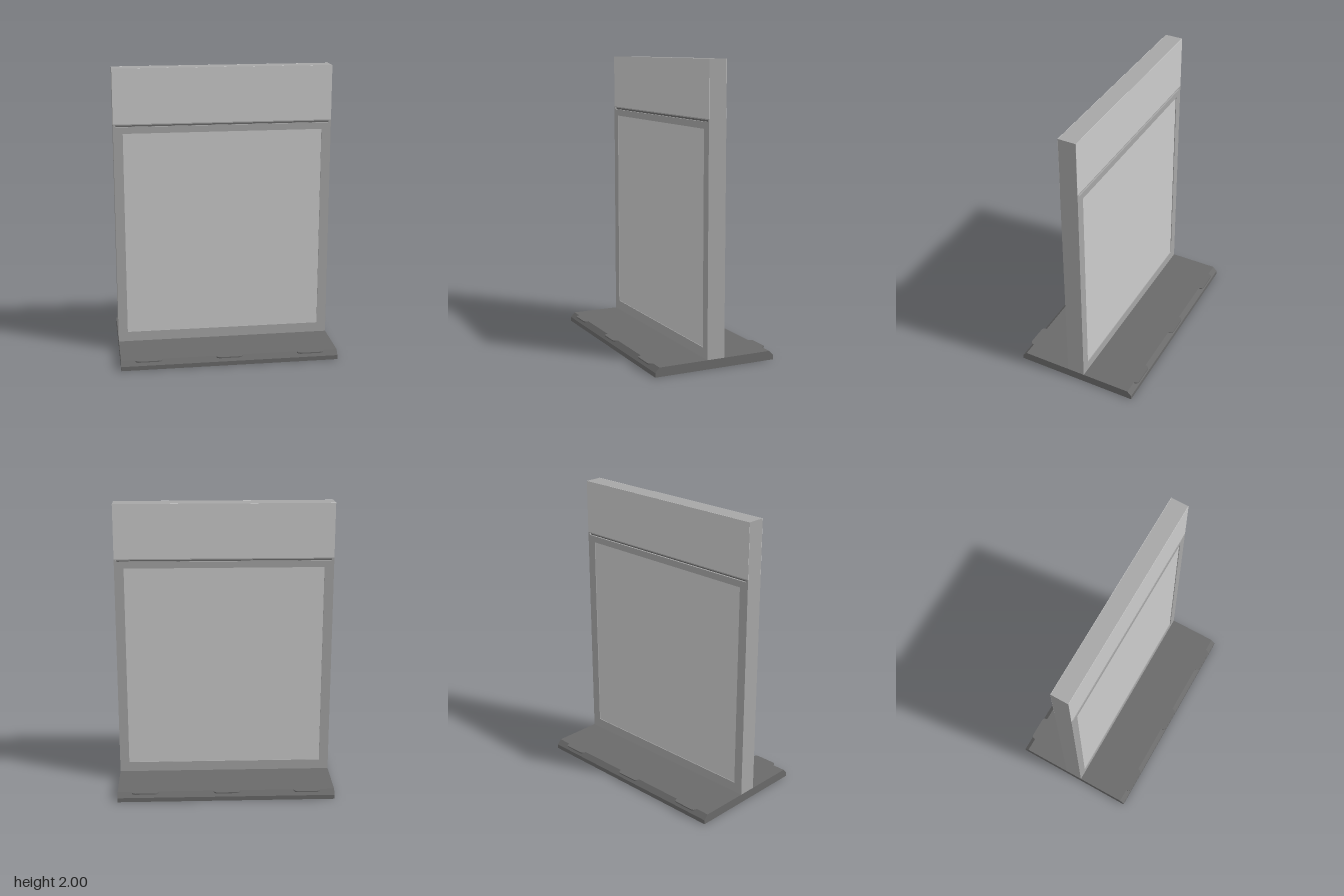
import * as THREE from 'three';

const W = 0.75;      // half width
const D = 0.437;     // half depth of base
const T = 0.0625;    // half thickness of upright, also base height
const SPLIT = 1.625; // bottom of the header

const faceMat = new THREE.MeshStandardMaterial({ color: 0xcccccc });
const frameMat = new THREE.MeshStandardMaterial({ color: 0xa6a6a6 });
const baseMat = new THREE.MeshStandardMaterial({ color: 0x6a6a6a });

function add(parent, name, geometry, material, x = 0, y = 0, z = 0) {
  const mesh = new THREE.Mesh(geometry, material);
  mesh.name = name;
  mesh.position.set(x, y, z);
  parent.add(mesh);
  return mesh;
}

function box(parent, name, material, x0, x1, y0, y1, z0, z1) {
  return add(parent, name, new THREE.BoxGeometry(x1 - x0, y1 - y0, z1 - z0), material,
    (x0 + x1) / 2, (y0 + y1) / 2, (z0 + z1) / 2);
}

const polygon = (points) => new THREE.Shape(points.map(([x, y]) => new THREE.Vector2(x, y)));
const rect = (x0, x1, y0, y1) => polygon([[x0, y0], [x1, y0], [x1, y1], [x0, y1]]);
const extrude = (shape, depth) =>
  new THREE.ExtrudeGeometry(shape, { depth, bevelEnabled: false, curveSegments: 6 });

// One display side, facing +z
function makeSide() {
  const side = new THREE.Group();
  const depth = 0.012;

  // Frame plate with the window and the narrow slot above it
  const plate = rect(-W, W, T, SPLIT);
  plate.holes.push(rect(-0.685, 0.685, 0.132, 1.56));
  plate.holes.push(polygon([[-0.73, 1.605], [0.73, 1.605], [0.74, 1.618], [-0.74, 1.618]]));
  add(side, 'frame', extrude(plate, depth), frameMat, 0, 0, T - depth);

  // Dark strip at the bottom of the slot
  box(side, 'slotStrip', baseMat, -0.735, 0.735, 1.606, 1.617, T - depth - 0.002, T - depth + 0.002);

  // Display panel, set slightly back in the window
  box(side, 'displayPanel', faceMat, -0.685, 0.685, 0.132, 1.56, T - depth, T - 0.005);

  // Header face
  box(side, 'headerPanel', faceMat, -W, W, SPLIT, 2, T - 0.002, T);
  return side;
}

// Hollow base with chamfered long edges, end walls, middle rib and edge tabs
function makeBase() {
  const base = new THREE.Group();
  base.name = 'base';
  const wall = 0.03;

  const outer = [[D, 0], [D, 0.03], [0.407, T], [-0.407, T], [-D, 0.03], [-D, 0]];
  const inner = [[-D + wall, 0], [-D + wall, 0.045], [D - wall, 0.045], [D - wall, 0]];
  const shell = extrude(polygon([...outer, ...inner]), 2 * (W - wall)).rotateY(Math.PI / 2);
  add(base, 'baseShell', shell, baseMat, -W + wall);

  const endWall = extrude(polygon(outer), wall).rotateY(Math.PI / 2);
  add(base, 'baseEndRight', endWall, baseMat, -W);
  add(base, 'baseEndLeft', endWall, baseMat, W - wall);
  box(base, 'baseRib', baseMat, -0.03, 0.03, 0, 0.046, -D + wall, D - wall);

  // Thin tabs with rounded outer corners, flush with the base top
  const tab = new THREE.Shape();
  tab.moveTo(-0.093, 0);
  tab.lineTo(0.093, 0);
  tab.quadraticCurveTo(0.09, 0.032, 0.065, 0.032);
  tab.lineTo(-0.065, 0.032);
  tab.quadraticCurveTo(-0.09, 0.032, -0.093, 0);
  const tabGeo = extrude(tab, 0.008).rotateX(Math.PI / 2);
  for (const x of [-0.56, -0.005, 0.56]) {
    add(base, 'frontTab', tabGeo, baseMat, x, T, D - 0.032);
    add(base, 'backTab', tabGeo, baseMat, x, T, -D + 0.032).rotation.y = Math.PI;
  }
  return base;
}

export function createModel() {
  const model = new THREE.Group();
  model.name = 'displayStand';
  model.add(makeBase());

  // Upright core and header body between the two sides
  box(model, 'uprightCore', frameMat, -W, W, T, SPLIT, -0.0505, 0.0505);
  box(model, 'headerBody', frameMat, -W, W, SPLIT, 2, -T + 0.002, T - 0.002);

  const front = makeSide();
  front.name = 'frontSide';
  const back = makeSide();
  back.name = 'backSide';
  back.rotation.y = Math.PI;
  model.add(front, back);
  return model;
}
